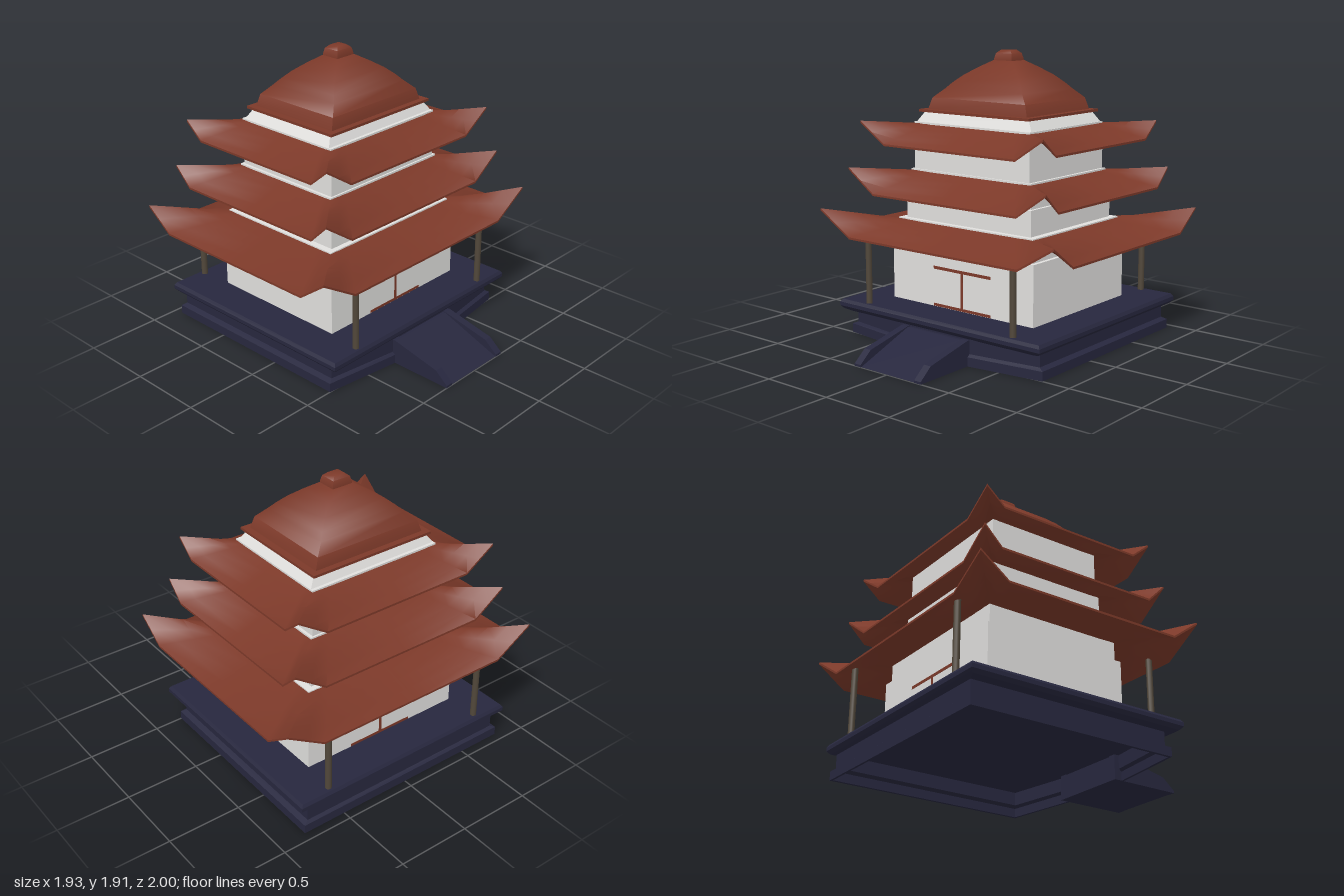
import * as THREE from 'three';
import { toCreasedNormals } from 'three/addons/utils/BufferGeometryUtils.js';

const mat = (name, color) => {
  const m = new THREE.MeshStandardMaterial({ color });
  m.name = name;
  return m;
};
const lerp = THREE.MathUtils.lerp;

// Skin closed rows of points (each row anticlockwise from above), optionally capped
function skin(rows, crease, capped) {
  const pos = [];
  const n = rows[0].length;
  const tri = (...pts) => pts.forEach((p) => pos.push(...p));
  for (let r = 0; r < rows.length - 1; r++) {
    for (let i = 0; i < n; i++) {
      const j = (i + 1) % n;
      const a = rows[r][i], b = rows[r][j], c = rows[r + 1][j], d = rows[r + 1][i];
      tri(a, b, c);
      tri(a, c, d);
    }
  }
  if (capped) {
    const lo = rows[0], hi = rows[rows.length - 1];
    for (let i = 0; i < n; i++) {
      const j = (i + 1) % n;
      tri([0, lo[0][1], 0], lo[j], lo[i]);
      tri([0, hi[0][1], 0], hi[i], hi[j]);
    }
  }
  const g = new THREE.BufferGeometry();
  g.setAttribute('position', new THREE.Float32BufferAttribute(pos, 3));
  return toCreasedNormals(g, crease);
}

// Stack of rectangles [halfX, halfZ, y]
function loft(rings, crease = 0.5) {
  const rows = rings.map(([x, z, y]) => [[-x, y, z], [x, y, z], [x, y, -z], [-x, y, -z]]);
  return skin(rows, crease, true);
}
const block = (x, z, y0, y1) => loft([[x, z, y0], [x, z, y1]]);

// Hollow plinth wall whose front comes forward slightly towards the ramp
function plinthWall(rings) {
  const rows = rings.map(([x, z, y]) => [
    [-x, y, z - 0.06], [-0.28, y, z + 0.01], [0.28, y, z + 0.01], [x, y, z - 0.06],
    [x, y, -z], [-x, y, -z],
  ]);
  return skin(rows, 0.1, false);
}

// Thin sloping skirt roof with straight eaves and upturned corners
function skirtRoof({ inner, outer, flat, top, frontEave, sideEave, corner }) {
  const thick = 0.014, steps = 4;
  const fx = flat[0] / outer[0], fz = flat[1] / outer[1];
  const around = [];
  for (let side = 0; side < 4; side++) {
    const alongX = side % 2 === 0, f = alongX ? fx : fz, s = side < 2 ? 1 : -1;
    for (const u of [-1, -(1 + f) / 2, -f, 0, f, (1 + f) / 2]) {
      const lift = Math.max(0, (Math.abs(u) - f) / (1 - f));
      const y = lerp(alongX ? frontEave : sideEave, corner, lift);
      around.push(alongX ? { x: u * s, z: s, y } : { x: s, z: -u * s, y });
    }
  }
  const row = (t, drop) => around.map((p) => [
    p.x * lerp(inner[0], outer[0], t),
    lerp(top, p.y, t) + drop,
    p.z * lerp(inner[1], outer[1], t),
  ]);
  const rows = [];
  for (let i = 0; i <= steps; i++) rows.push(row(i / steps, 0));
  for (let i = steps; i >= 0; i--) rows.push(row(i / steps, thick));
  return skin(rows, 0.9, false);
}

export function createModel() {
  const clay = mat('roof red', 0x7c3929);
  const plaster = mat('plaster white', 0xe0dfdd);
  const stone = mat('dark blue stone', 0x27273e);
  const timber = mat('brown timber', 0x51473a);

  const model = new THREE.Group();
  model.name = 'pagoda';
  const tower = new THREE.Group();
  tower.name = 'tower';
  tower.position.z = -0.19;
  model.add(tower);
  const add = (parent, name, geometry, material) => {
    const mesh = new THREE.Mesh(geometry, material);
    mesh.name = name;
    parent.add(mesh);
    return mesh;
  };

  // Open-bottomed plinth wall carrying a moulded deck
  add(tower, 'plinthWall', plinthWall([
    [0.755, 0.715, 0.17], [0.755, 0.715, 0.075], [0.785, 0.735, 0.06], [0.785, 0.735, 0],
    [0.805, 0.75, 0], [0.805, 0.75, 0.06], [0.77, 0.73, 0.075], [0.77, 0.73, 0.17],
  ]), stone);
  add(tower, 'deck', loft([
    [0.77, 0.73, 0.165], [0.82, 0.75, 0.178], [0.84, 0.77, 0.2],
    [0.84, 0.77, 0.225], [0.825, 0.757, 0.245],
  ]), stone);

  // Entrance ramp between two side kerbs
  const slope = (points, x, width, name) => {
    const shape = new THREE.Shape(points.map(([z, y]) => new THREE.Vector2(-z, y)));
    const g = new THREE.ExtrudeGeometry(shape, { depth: width, bevelEnabled: false });
    g.rotateY(Math.PI / 2);
    g.translate(x, 0, 0);
    add(model, name, g, stone);
  };
  const kerb = [[1, 0], [1, 0.015], [0.91, 0.09], [0.57, 0.165], [0.5, 0.165], [0.5, 0]];
  slope(kerb, -0.278, 0.053, 'rightKerb');
  slope(kerb, 0.225, 0.053, 'leftKerb');
  slope([[0.995, 0], [0.57, 0.16], [0.5, 0.16], [0.5, 0]], -0.225, 0.45, 'ramp');

  // Storeys: wall, with a narrower neck rising through the roof
  add(tower, 'firstStorey', block(0.59, 0.5, 0.17, 0.645), plaster);
  add(tower, 'firstNeck', block(0.565, 0.473, 0.645, 0.798), plaster);
  add(tower, 'secondStorey', block(0.52, 0.437, 0.798, 0.965), plaster);
  add(tower, 'secondNeck', block(0.5, 0.412, 0.965, 1.128), plaster);
  add(tower, 'thirdStorey', block(0.48, 0.4, 1.128, 1.442), plaster);
  add(tower, 'taperedNeck', loft([[0.475, 0.378, 1.442], [0.43, 0.345, 1.508]]), plaster);

  // Three skirt roofs
  add(tower, 'lowerRoof', skirtRoof({
    inner: [0.56, 0.468], outer: [0.967, 0.81], flat: [0.7, 0.615],
    top: 0.776, frontEave: 0.68, sideEave: 0.7, corner: 0.843,
  }), clay);
  add(tower, 'middleRoof', skirtRoof({
    inner: [0.495, 0.407], outer: [0.817, 0.685], flat: [0.595, 0.56],
    top: 1.104, frontEave: 0.965, sideEave: 0.998, corner: 1.12,
  }), clay);
  add(tower, 'upperRoof', skirtRoof({
    inner: [0.475, 0.395], outer: [0.752, 0.63], flat: [0.543, 0.5],
    top: 1.418, frontEave: 1.295, sideEave: 1.323, corner: 1.433,
  }), clay);

  // Domed cap roof and finial
  add(tower, 'capEave', block(0.455, 0.38, 1.507, 1.524), clay);
  add(tower, 'capRoof', loft([
    [0.41, 0.34, 1.524], [0.385, 0.325, 1.6], [0.32, 0.272, 1.66], [0.285, 0.237, 1.7],
    [0.228, 0.19, 1.75], [0.15, 0.127, 1.802], [0.078, 0.066, 1.845],
  ], 1.3), clay);
  add(tower, 'finial', loft([
    [0.075, 0.065, 1.835], [0.074, 0.064, 1.855], [0.064, 0.055, 1.892], [0.038, 0.034, 1.913],
  ], 1.3), clay);

  // Corner columns under the lower roof
  for (const sx of [-1, 1]) {
    for (const sz of [-1, 1]) {
      const y0 = 0.24, y1 = 0.712;
      const column = add(tower, 'column', new THREE.CylinderGeometry(0.021, 0.021, y1 - y0, 12), timber);
      column.position.set(sx * 0.606, (y0 + y1) / 2, sz * 0.723);
    }
  }

  // Door trim on the front and back walls
  for (const s of [-1, 1]) {
    const door = new THREE.Group();
    door.name = s > 0 ? 'frontDoorTrim' : 'backDoorTrim';
    door.position.set(0.012, 0, s * 0.498);
    tower.add(door);
    for (const [name, w, h, y] of [
      ['lintel', 0.48, 0.02, 0.507], ['sill', 0.48, 0.018, 0.256], ['doorPost', 0.02, 0.25, 0.38],
    ]) {
      add(door, name, new THREE.BoxGeometry(w, h, 0.008), clay).position.y = y;
    }
  }
  return model;
}
